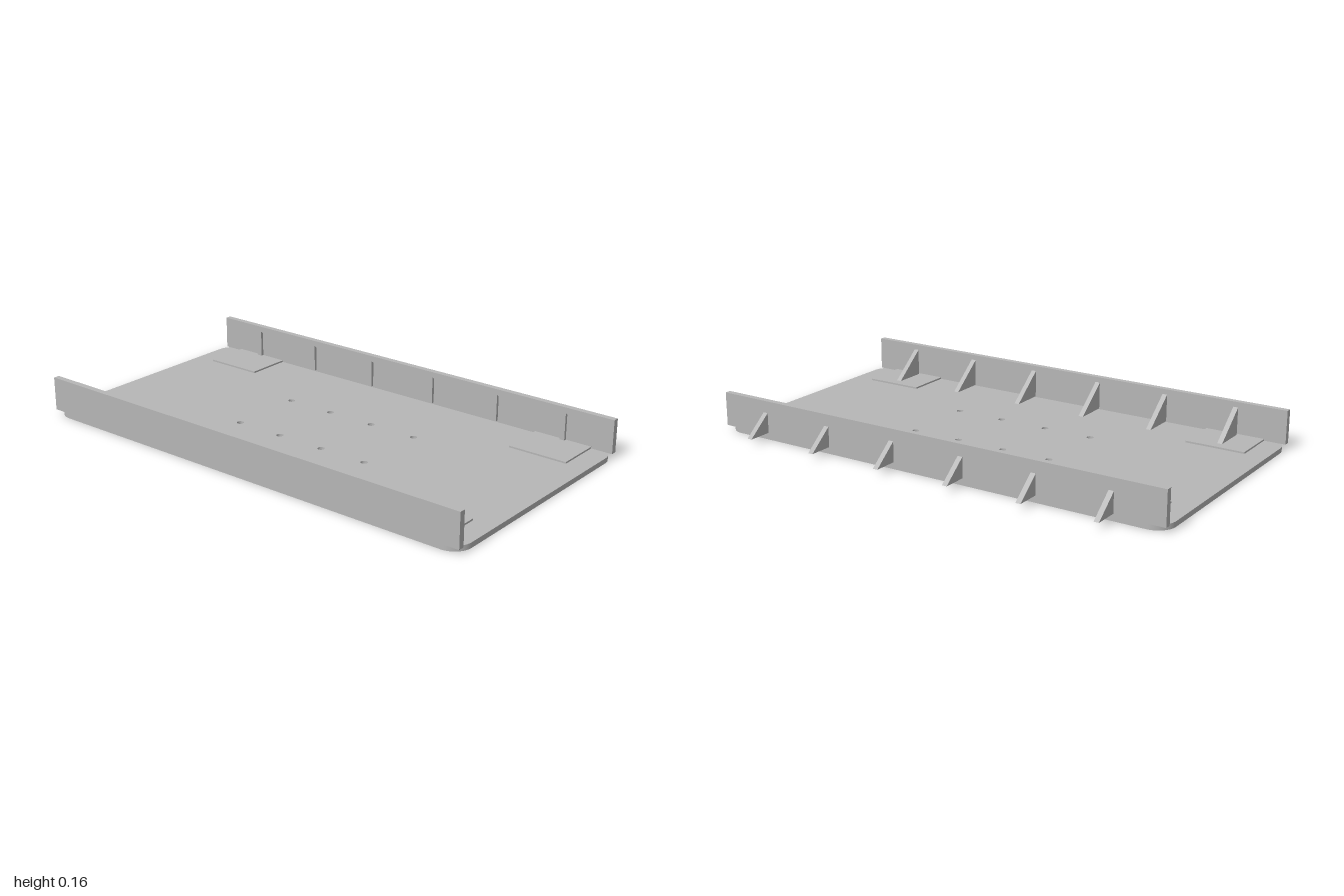
import * as THREE from 'three';

const steel = new THREE.MeshStandardMaterial({ color: 0xb6b6b6 });
steel.name = 'grey steel';

// Plate extent, centre line and layer heights
const FRONT = 0.575, BACK = -0.475, MID = 0.05, CORNER = 0.075;
const RECESS = 0.013, TOP = 0.021;

// Hole positions as [x, z, radius]
const boltHoles = [], recesses = [];
for (const x of [-0.315, -0.105, 0.105, 0.315])
  for (const z of [-0.11, 0.205]) boltHoles.push([x, z, 0.014]);
for (const side of [-1, 1]) {
  for (const x of [0.21, 0.42, 0.63]) recesses.push([side * x, MID, 0.05]);
  for (const z of [MID - 0.405, MID + 0.405]) recesses.push([side * 0.785, z, 0.027]);
}

// Rounded plate layer between two heights, pierced by the given holes
function plateLayer(y0, y1, holes) {
  const r = CORNER, s = new THREE.Shape();
  s.absarc(1 - r, FRONT - r, r, 0, Math.PI / 2);
  s.absarc(-1 + r, FRONT - r, r, Math.PI / 2, Math.PI);
  s.absarc(-1 + r, BACK + r, r, Math.PI, Math.PI * 1.5);
  s.absarc(1 - r, BACK + r, r, Math.PI * 1.5, Math.PI * 2);
  s.closePath();
  for (const [x, z, radius] of holes)
    s.holes.push(new THREE.Path().absarc(x, z, radius, 0, Math.PI * 2, true));
  const g = new THREE.ExtrudeGeometry(s, { depth: y1 - y0, bevelEnabled: false, curveSegments: 20 });
  return g.rotateX(Math.PI / 2).translate(0, y1, 0);
}

// Right-angled triangular rib, tall edge at its +z end
function ribGeometry() {
  const width = 0.021;
  const s = new THREE.Shape();
  s.moveTo(0, 0.028);
  s.lineTo(0, 0.142);
  s.lineTo(-0.137, 0.028);
  s.closePath();
  const g = new THREE.ExtrudeGeometry(s, { depth: width, bevelEnabled: false });
  return g.translate(0, 0, -width / 2).rotateY(-Math.PI / 2);
}

export function createModel() {
  const model = new THREE.Group();
  model.name = 'mountingTray';

  const add = (name, geometry, x = 0, y = 0, z = 0) => {
    const mesh = new THREE.Mesh(geometry, steel);
    mesh.name = name;
    mesh.position.set(x, y, z);
    model.add(mesh);
  };

  // Base plate: the lower layer also carries the blind recesses
  add('plateUnderside', plateLayer(0, RECESS, [...boltHoles, ...recesses]));
  add('plateTop', plateLayer(RECESS, TOP, boltHoles));

  // Long upright walls
  const wall = new THREE.BoxGeometry(2, 0.16 - TOP, 0.025);
  const wallY = (0.16 + TOP) / 2;
  add('frontWall', wall, 0, wallY, FRONT - 0.0125);
  add('backWall', wall, 0, wallY, BACK + 0.0125);

  // Ribs: inside the front wall, through the back wall
  const rib = ribGeometry();
  for (const side of [-1, 1])
    for (const x of [0.158, 0.473, 0.787]) {
      add('frontRib', rib, side * x, 0, 0.538);
      add('backRib', rib, side * x, 0, -0.438);
    }

  // Thin reinforcing pads in the corners
  const pad = new THREE.BoxGeometry(0.25, 0.007, 0.19);
  for (const x of [-0.785, 0.785])
    for (const z of [MID - 0.405, MID + 0.405]) add('cornerPad', pad, x, TOP + 0.0035, z);

  return model;
}
